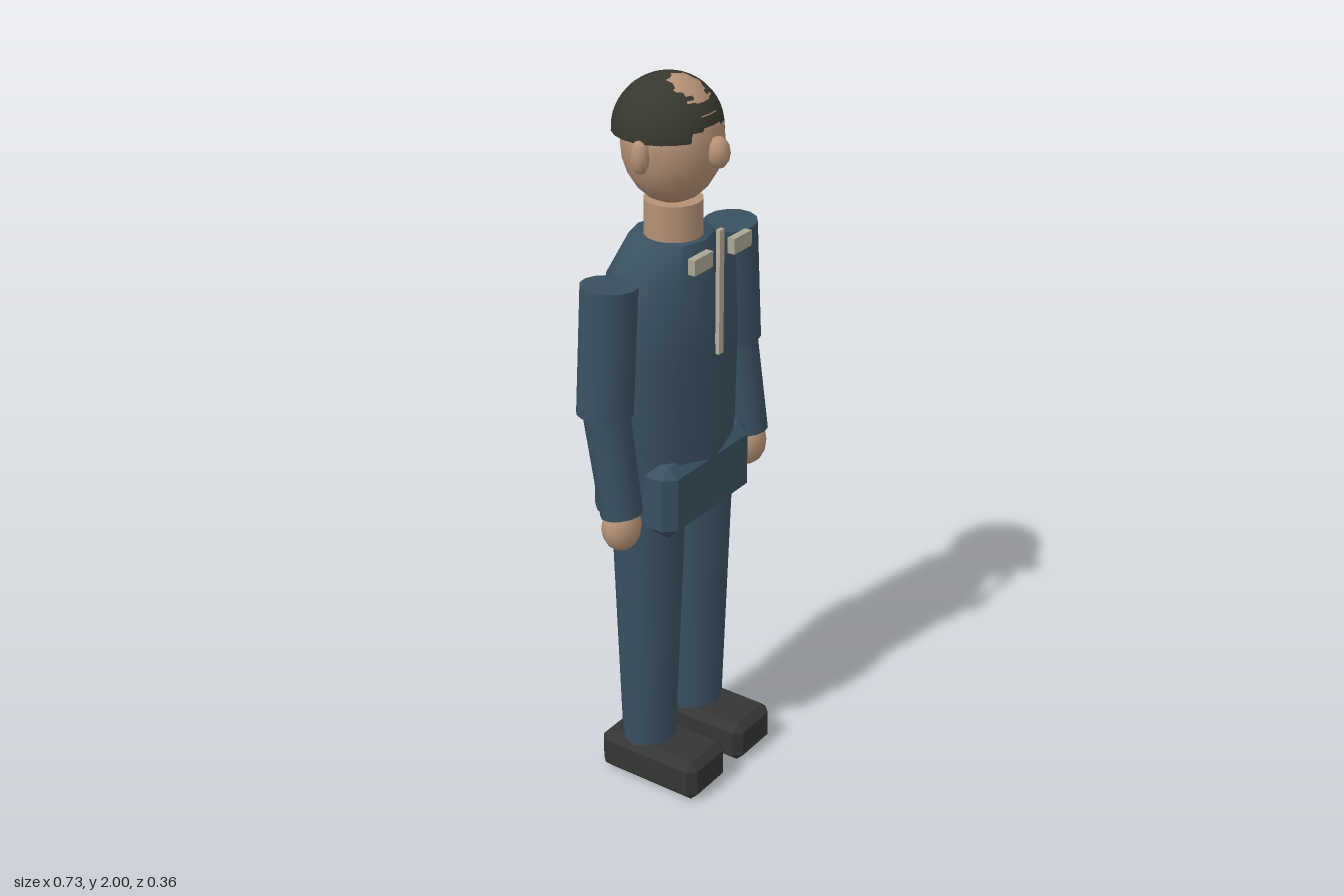
import * as THREE from 'three';
import { toCreasedNormals } from 'three/addons/utils/BufferGeometryUtils.js';
import { ConvexGeometry } from 'three/addons/geometries/ConvexGeometry.js';

const mat = (color) => new THREE.MeshStandardMaterial({ color });

// Box with every edge cut at an angle
function chamferBox(w, h, d, b) {
  const points = [];
  for (const x of [-1, 1]) for (const y of [-1, 1]) for (const z of [-1, 1]) {
    const [X, Y, Z] = [w / 2, h / 2, d / 2];
    points.push(
      new THREE.Vector3(x * X, y * (Y - b), z * (Z - b)),
      new THREE.Vector3(x * (X - b), y * Y, z * (Z - b)),
      new THREE.Vector3(x * (X - b), y * (Y - b), z * Z));
  }
  return new ConvexGeometry(points);
}

// Ellipsoid, optionally only the part from the top down to angle theta
function ellipsoid(rx, ry, rz, segments = 24, theta = Math.PI) {
  return new THREE.SphereGeometry(1, segments, segments / 2, 0, Math.PI * 2, 0, theta).scale(rx, ry, rz);
}

// Tapered cylinder running from one point to another
function limb(from, to, rFrom, rTo, sides) {
  const a = new THREE.Vector3(...from), b = new THREE.Vector3(...to);
  const dir = a.clone().sub(b);
  const geo = new THREE.CylinderGeometry(rFrom, rTo, dir.length(), sides);
  geo.applyQuaternion(new THREE.Quaternion().setFromUnitVectors(new THREE.Vector3(0, 1, 0), dir.normalize()));
  const mid = a.add(b).multiplyScalar(0.5);
  return geo.translate(mid.x, mid.y, mid.z);
}

// Ten-sided body whose width and depth follow rows of [y, halfWidth, halfDepth]
function torsoGeometry(rows) {
  const n = 10;
  const geo = new THREE.LatheGeometry(rows.map(([y]) => new THREE.Vector2(1, y)), n);
  const pos = geo.attributes.position;
  for (let i = 0; i < pos.count; i++) {
    const [, rx, rz] = rows[i % rows.length];
    pos.setX(i, pos.getX(i) * rx);
    pos.setZ(i, pos.getZ(i) * rz);
  }
  return toCreasedNormals(geo, 1.1);
}

export function createModel() {
  const model = new THREE.Group();
  const cloth = mat(0x3a5060), skin = mat(0xb59176), hairColor = mat(0x38382f);
  const shoeColor = mat(0x343635), trim = mat(0xb8ad9b), patch = mat(0xaaa793);

  const add = (name, geo, material, x = 0, y = 0, z = 0) => {
    const mesh = new THREE.Mesh(geo, material);
    mesh.name = name;
    mesh.position.set(x, y, z);
    model.add(mesh);
    return mesh;
  };

  // Head
  add('head', ellipsoid(0.137, 0.165, 0.13), skin, 0, 1.835, -0.025);
  const hair = add('hair', ellipsoid(0.147, 0.14, 0.14, 24, Math.PI / 2), hairColor, 0, 1.86, -0.04);
  hair.material.side = THREE.DoubleSide;
  add('nose', ellipsoid(0.03, 0.042, 0.03, 12), skin, 0, 1.825, 0.113);
  add('neck', new THREE.CylinderGeometry(0.077, 0.077, 0.12, 16), skin, 0, 1.62, -0.023);

  // Body
  add('torso', torsoGeometry([
    [0.85, 0, 0], [0.85, 0.2, 0.128], [1.05, 0.216, 0.144], [1.3, 0.224, 0.147],
    [1.49, 0.224, 0.137], [1.585, 0.115, 0.105], [1.585, 0, 0],
  ]), cloth, 0, 0, -0.03);
  add('hips', chamferBox(0.385, 0.21, 0.272, 0.03), cloth, 0, 0.905, -0.031);
  add('frontStrip', new THREE.BoxGeometry(0.02, 0.34, 0.012), trim, 0, 1.455, 0.12);

  // Paired parts
  for (const [side, s] of [['left', 1], ['right', -1]]) {
    add(side + 'Ear', ellipsoid(0.024, 0.045, 0.025, 12), skin, s * 0.141, 1.825, -0.023);
    add(side + 'CollarPatch', new THREE.BoxGeometry(0.079, 0.042, 0.021), patch, s * 0.087, 1.564, 0.121);
    add(side + 'UpperArm', limb([s * 0.266, 1.53, -0.029], [s * 0.292, 1.19, -0.029], 0.074, 0.074, 14), cloth);
    add(side + 'Forearm', limb([s * 0.291, 1.22, -0.03], [s * 0.293, 0.915, 0.02], 0.062, 0.056, 12), cloth);
    add(side + 'Hand', ellipsoid(0.057, 0.066, 0.05, 16), skin, s * 0.294, 0.878, 0.02);
    add(side + 'Leg', limb([s * 0.111, 0.85, -0.028], [s * 0.114, 0.1, -0.028], 0.1, 0.074, 12), cloth);
    add(side + 'Shoe', chamferBox(0.17, 0.12, 0.322, 0.022), shoeColor, s * 0.114, 0.06, 0.019);
  }
  return model;
}
